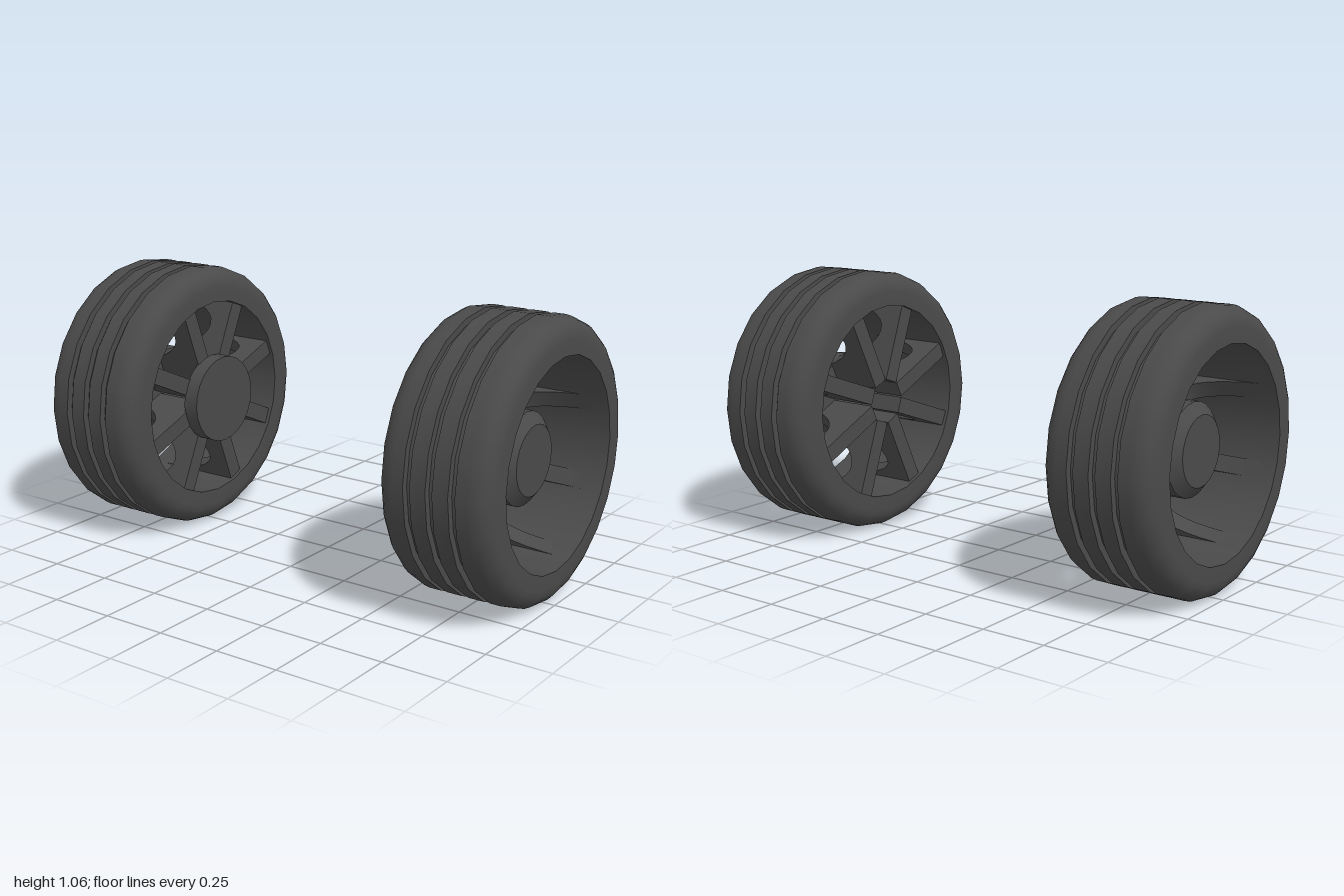
import * as THREE from 'three';
import { toCreasedNormals } from 'three/addons/utils/BufferGeometryUtils.js';

const SIDES = 24;
const R = 0.528;         // tyre radius
const RIM = 0.395;       // opening radius
const HALF = 0.22;       // half the tyre width

// Revolve [radius, axial] points around the x axis, keeping hard edges sharp
function revolve(points) {
  const geo = new THREE.LatheGeometry(points.map(([r, a]) => new THREE.Vector2(r, a)), SIDES);
  geo.rotateZ(-Math.PI / 2);
  return toCreasedNormals(geo, 0.6);
}

// Tyre section: inner barrel, rounded shoulders, three tread grooves
function tyreProfile() {
  const c = 0.075, steps = 5, pts = [[RIM, -HALF]];
  for (let i = 0; i <= steps; i++) {
    const t = (i / steps) * Math.PI / 2;
    pts.push([R - c + c * Math.sin(t), -HALF + c - c * Math.cos(t)]);
  }
  for (const g of [-0.088, 0, 0.088]) {
    pts.push([R, g - 0.013], [R - 0.026, g - 0.013], [R - 0.026, g + 0.013], [R, g + 0.013]);
  }
  for (let i = steps; i >= 0; i--) {
    const t = (i / steps) * Math.PI / 2;
    pts.push([R - c + c * Math.sin(t), HALF - c + c * Math.cos(t)]);
  }
  pts.push([RIM, HALF], [RIM, -HALF]);
  return pts;
}

// Spoke side outline: flat back, concave front sweeping up to hub and rim
function spokeGeometry() {
  const width = 0.065;
  const s = new THREE.Shape();
  s.moveTo(-0.205, 0.085);
  s.lineTo(0.02, 0.085);
  s.lineTo(0.06, 0.16);
  s.bezierCurveTo(-0.06, 0.19, -0.12, 0.24, -0.12, 0.29);
  s.bezierCurveTo(-0.12, 0.35, -0.02, 0.385, 0.18, RIM);
  s.lineTo(0.18, RIM + 0.01);
  s.lineTo(-0.205, RIM + 0.01);
  s.closePath();
  const geo = new THREE.ExtrudeGeometry(s, { depth: width, bevelEnabled: false, curveSegments: 8 });
  geo.translate(0, 0, -width / 2);
  return toCreasedNormals(geo, 0.6);
}

export function createModel() {
  const rubber = new THREE.MeshStandardMaterial({ color: 0x4a4a4a });
  rubber.name = 'darkGrey';

  const tyreGeo = revolve(tyreProfile());
  const hubGeo = revolve([[0, 0], [0.175, 0], [0.175, 0.08], [0.132, 0.115], [0, 0.115]]);
  const capGeo = revolve([[0, -0.263], [0.175, -0.263], [0.175, -0.2], [0, -0.2]]);
  const spokeGeo = spokeGeometry();

  // Wheel with its outer side towards +x
  function wheel(name, twist) {
    const g = new THREE.Group();
    g.name = name;
    const add = (part, geo) => {
      const m = new THREE.Mesh(geo, rubber);
      m.name = part;
      g.add(m);
      return m;
    };
    add('tyre', tyreGeo);
    add('hub', hubGeo);
    for (let i = 0; i < 8; i++) {
      add('spoke', spokeGeo).rotation.x = twist + i * Math.PI / 4;
    }
    return { g, add };
  }

  const model = new THREE.Group();
  model.name = 'wheelPair';
  const tilt = THREE.MathUtils.degToRad(20);

  const left = wheel('leftWheel', tilt);
  left.g.position.set(0.78, R, 0);

  const right = wheel('rightWheel', -tilt);
  right.g.position.set(-0.78, R, 0);
  right.g.rotation.y = Math.PI;
  right.add('innerHubCap', capGeo);

  model.add(left.g, right.g);
  return model;
}
